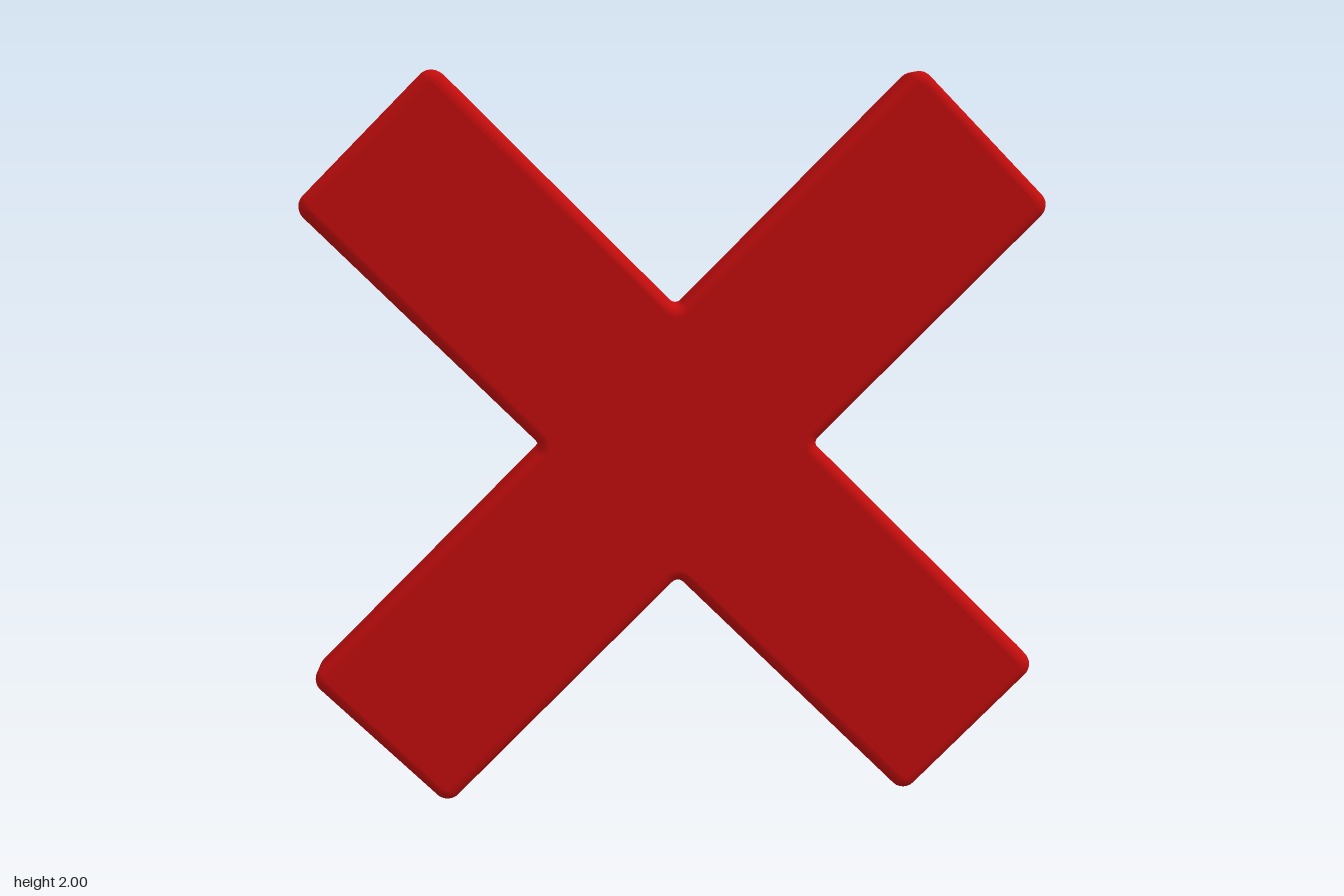
import * as THREE from 'three';
import { mergeVertices } from 'three/addons/utils/BufferGeometryUtils.js';

const ARM = 1.175;      // centre to arm tip
const HALF = 0.263;     // half the arm width
const THICK = 0.155;
const BEVEL = 0.032;

// Cross outline, counter-clockwise, with every right-angled corner rounded
function crossOutline() {
  const l = ARM - BEVEL, h = HALF - BEVEL;
  const corners = [];
  for (let k = 0; k < 4; k++) {
    for (const [x, y, r] of [[l, -h, 0.01], [l, h, 0.01], [h, h, BEVEL + 0.02]]) {
      const p = new THREE.Vector2(x, y).rotateAround(new THREE.Vector2(), Math.PI / 4 + k * Math.PI / 2);
      corners.push({ p, r });
    }
  }
  const points = [];
  const steps = 6, n = corners.length;
  corners.forEach(({ p, r }, i) => {
    const toPrev = corners[(i + n - 1) % n].p.clone().sub(p).normalize();
    const toNext = corners[(i + 1) % n].p.clone().sub(p).normalize();
    const centre = p.clone().addScaledVector(toPrev, r).addScaledVector(toNext, r);
    for (let s = 0; s <= steps; s++) {
      const t = (s / steps) * Math.PI / 2;
      points.push(centre.clone()
        .addScaledVector(toNext, -r * Math.cos(t))
        .addScaledVector(toPrev, -r * Math.sin(t)));
    }
  });
  return new THREE.Shape(points);
}

export function createModel() {
  const red = new THREE.MeshStandardMaterial({ color: 0xc40d0d });
  red.name = 'red';

  // Slab with softly rounded edges
  const depth = THICK - 2 * BEVEL;
  let geometry = new THREE.ExtrudeGeometry(crossOutline(), {
    depth, bevelEnabled: true, bevelThickness: BEVEL, bevelSize: BEVEL, bevelSegments: 5,
  });
  geometry.translate(0, 0, -depth / 2);

  // Shared vertices give smooth, area-weighted normals
  geometry.deleteAttribute('normal');
  geometry.deleteAttribute('uv');
  geometry = mergeVertices(geometry, 1e-5);
  geometry.computeVertexNormals();

  const cross = new THREE.Mesh(geometry, red);
  cross.name = 'cross';
  cross.position.y = 1;
  cross.rotation.y = THREE.MathUtils.degToRad(15);

  const model = new THREE.Group();
  model.name = 'crossMarker';
  model.add(cross);
  return model;
}
